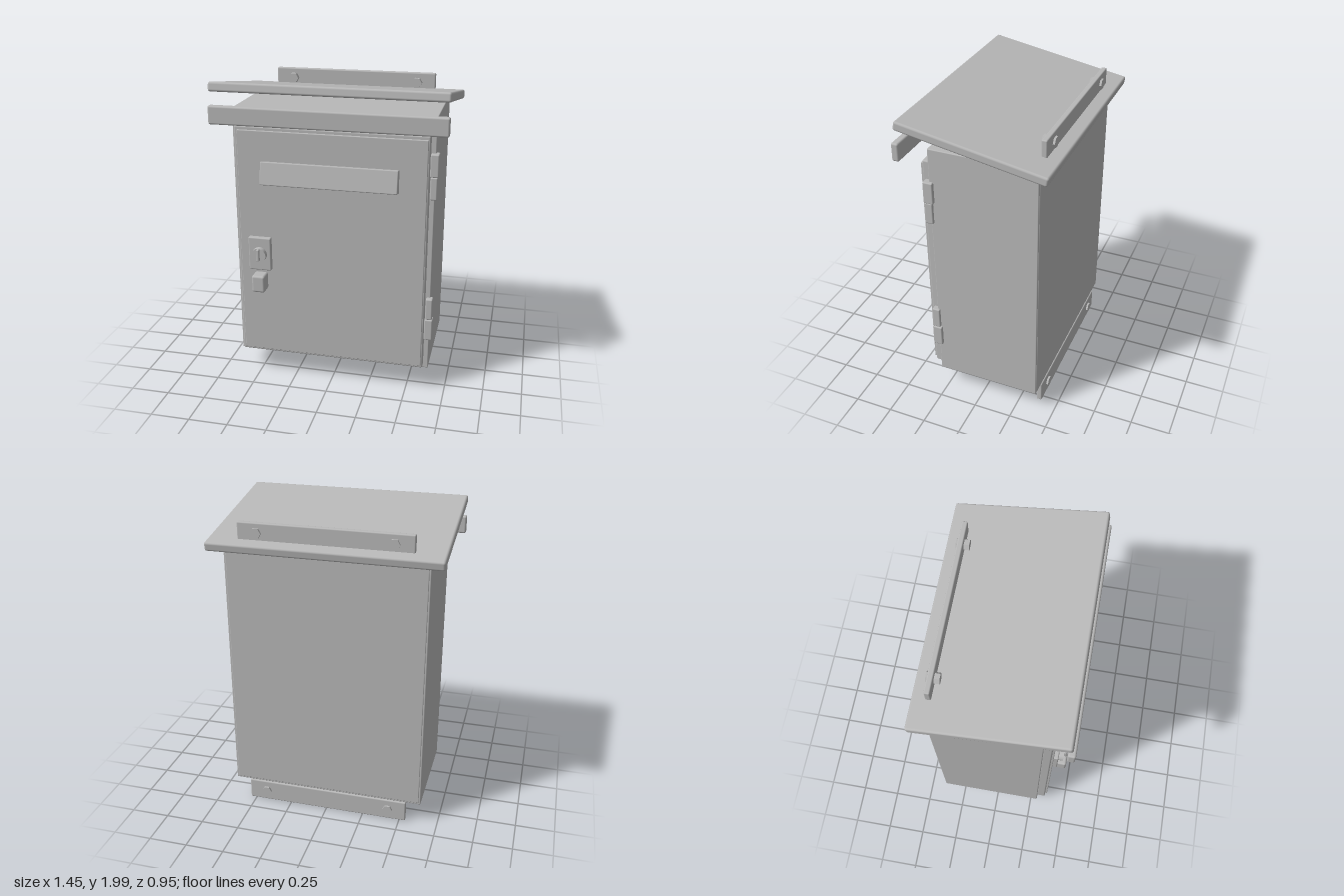
import * as THREE from 'three';
import { RoundedBoxGeometry } from 'three/addons/geometries/RoundedBoxGeometry.js';

export function createModel() {
  const root = new THREE.Group();
  root.name = 'letterCabinet';
  const steel = new THREE.MeshStandardMaterial({ color: 0xb8b8b8 });
  steel.name = 'grey steel';

  // Soft-edged box given by its extents on each axis
  function block(name, [x0, x1], [y0, y1], [z0, z1], r = 0.008) {
    const geo = new RoundedBoxGeometry(x1 - x0, y1 - y0, z1 - z0, 2, r);
    const mesh = new THREE.Mesh(geo, steel);
    mesh.name = name;
    mesh.position.set((x0 + x1) / 2, (y0 + y1) / 2, (z0 + z1) / 2);
    root.add(mesh);
    return mesh;
  }

  // Cylinder or prism lying along z
  function rod(name, x, y, z0, z1, radius, sides) {
    const geo = new THREE.CylinderGeometry(radius, radius, z1 - z0, sides);
    geo.rotateX(Math.PI / 2);
    if (sides === 6) geo.rotateZ(Math.PI / 2);
    const mesh = new THREE.Mesh(sides === 6 ? geo.toNonIndexed() : geo, steel);
    if (sides === 6) mesh.geometry.computeVertexNormals();
    mesh.name = name;
    mesh.position.set(x, y, (z0 + z1) / 2);
    root.add(mesh);
  }

  // Cabinet with its back panel
  block('body', [-0.637, 0.637], [0.145, 1.815], [-0.386, 0.296], 0.006);
  block('backPanel', [-0.625, 0.625], [0.157, 1.8], [-0.39, -0.355], 0.005);

  // Door and raised face
  block('door', [-0.61, 0.606], [0.17, 1.715], [0.29, 0.35], 0.01);
  block('doorFace', [-0.59, 0.596], [0.19, 1.692], [0.34, 0.364], 0.004);

  // Sloping roof and front rain bar
  const roof = block('roof', [-0.725, 0.725], [1.859, 1.917], [-0.476, 0.46], 0.014);
  roof.rotation.x = -THREE.MathUtils.degToRad(10);
  block('rainBar', [-0.725, 0.725], [1.743, 1.858], [0.43, 0.476], 0.012);

  // Tilted letter flap
  const flap = block('letterFlap', [-0.43, 0.428], [1.36, 1.504], [0.345, 0.42], 0.006);
  flap.rotation.x = -THREE.MathUtils.degToRad(12);

  // Lock: plate, barrel and key tongue
  block('lockPlate', [-0.53, -0.383], [0.78, 1.002], [0.36, 0.396]);
  rod('lockBarrel', -0.456, 0.892, 0.39, 0.428, 0.048, 32);
  block('keyTongue', [-0.466, -0.446], [0.858, 0.938], [0.42, 0.445], 0.005);

  // Pull knob
  block('pullKnob', [-0.498, -0.413], [0.646, 0.76], [0.364, 0.456], 0.014);

  // Hinges, each a wide and a narrow knuckle, mirrored in height
  for (const [y, up] of [[1.457, 1], [0.51, -1]]) {
    const wide = [y, y + up * 0.143].sort((a, b) => a - b);
    const slim = [y, y - up * 0.143].sort((a, b) => a - b);
    block('hingeKnuckleWide', [0.606, 0.658], wide, [0.267, 0.331]);
    block('hingeKnuckleSlim', [0.61, 0.653], slim, [0.277, 0.329]);
  }

  // Mounting rails with hex bolts
  for (const [y0, y1, boltY] of [[0.003, 0.143, 0.073], [1.81, 1.955, 1.893]]) {
    block('mountingRail', [-0.54, 0.54], [y0, y1], [-0.392, -0.357], 0.008);
    for (const x of [-0.42, 0.42]) rod('hexBolt', x, boltY, -0.405, -0.325, 0.034, 6);
  }
  return root;
}
